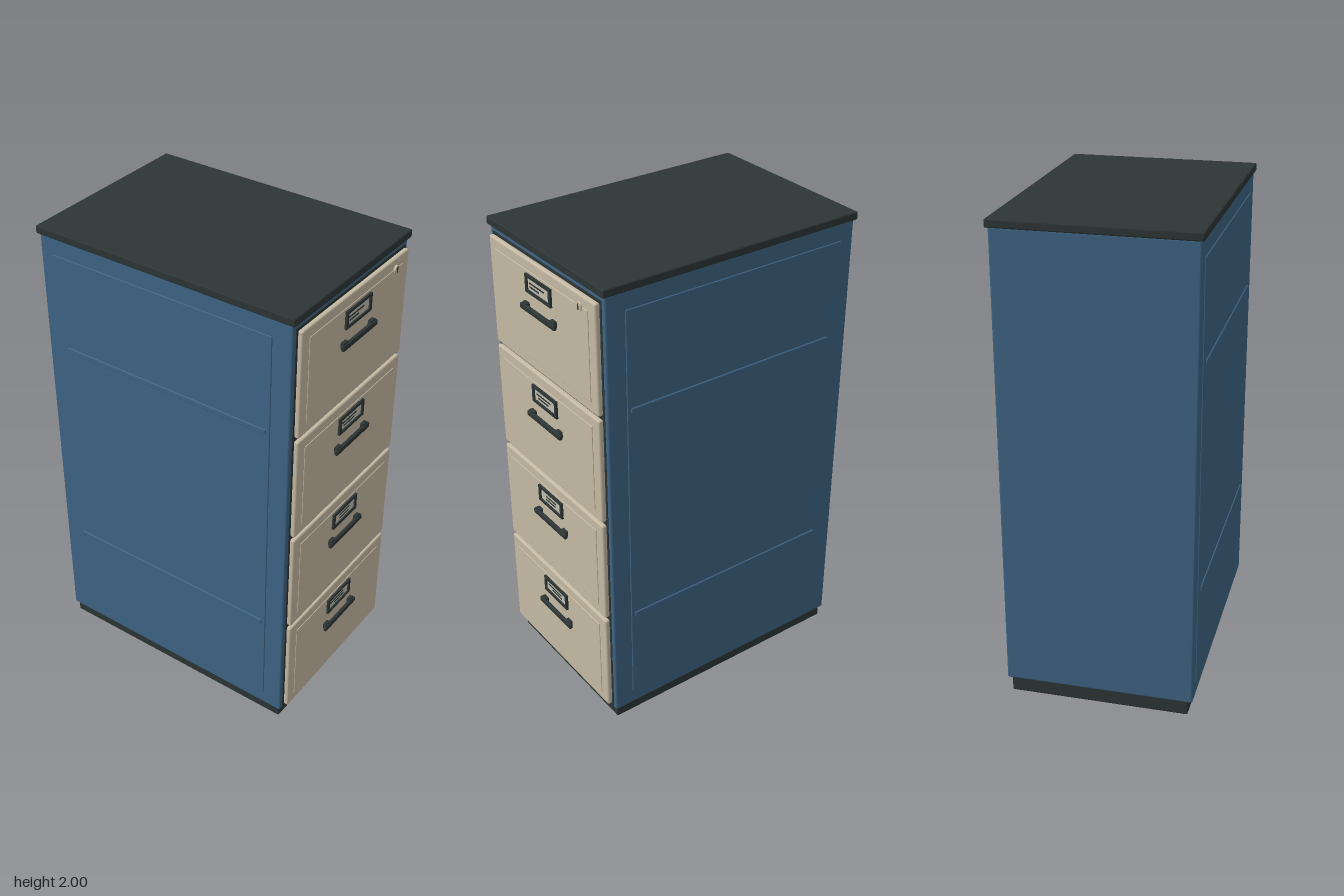
import * as THREE from 'three';
import { RoundedBoxGeometry } from 'three/addons/geometries/RoundedBoxGeometry.js';

const mat = (name, color) => {
  const m = new THREE.MeshStandardMaterial({ color });
  m.name = name;
  return m;
};

export function createModel() {
  const blue = mat('blue steel', 0x3f6585);
  const dark = mat('charcoal', 0x2d3635);
  const beige = mat('beige enamel', 0xc6baa4);
  const card = mat('label card', 0xc2bfaf);

  const cabinet = new THREE.Group();
  cabinet.name = 'filingCabinet';

  // Box given by its min and max corners, rounded when r > 0
  const box = (parent, name, m, [x0, y0, z0], [x1, y1, z1], r = 0) => {
    const s = [x1 - x0, y1 - y0, z1 - z0];
    const g = r ? new RoundedBoxGeometry(...s, 2, r) : new THREE.BoxGeometry(...s);
    const mesh = new THREE.Mesh(g, m);
    mesh.name = name;
    mesh.position.set((x0 + x1) / 2, (y0 + y1) / 2, (z0 + z1) / 2);
    parent.add(mesh);
    return mesh;
  };

  // Plinth, body and top slab
  box(cabinet, 'plinth', dark, [-0.37, 0, -0.585], [0.37, 0.065, 0.535], 0.004);
  box(cabinet, 'body', blue, [-0.39, 0.06, -0.59], [0.39, 1.97, 0.553], 0.008);
  box(cabinet, 'top', dark, [-0.4, 1.967, -0.6], [0.4, 2, 0.565], 0.006);
  box(cabinet, 'drawerRecess', dark, [-0.372, 0.07, 0.55], [0.372, 1.947, 0.555]);

  // Raised side panels with two pressed ribs each
  for (const side of [-1, 1]) {
    const span = (a, b) => [Math.min(side * a, side * b), Math.max(side * a, side * b)];
    const [p0, p1] = span(0.38, 0.3945);
    box(cabinet, 'sidePanel', blue, [p0, 0.12, -0.53], [p1, 1.895, 0.47], 0.003);
    const [r0, r1] = span(0.385, 0.4);
    for (const y of [0.535, 1.487]) {
      box(cabinet, 'sideRib', blue, [r0, y - 0.011, -0.49], [r1, y + 0.011, 0.455], 0.004);
    }
  }

  // Printed lines on each card: [left, right] of the upper and lower line
  const lines = [
    [[-0.065, 0.035], [-0.035, 0.038]],
    [[-0.04, 0.035], [-0.04, 0.03]],
    [[-0.065, 0.035], [-0.055, 0.02]],
    [[-0.065, 0.035], [-0.065, 0.0]],
  ];

  // Four drawers, from bottom to top
  for (let i = 0; i < 4; i++) {
    const drawer = new THREE.Group();
    drawer.name = 'drawer' + (i + 1);
    drawer.position.y = 0.308 + i * 0.468;
    cabinet.add(drawer);

    box(drawer, 'drawerFront', beige, [-0.365, -0.226, 0.554], [0.365, 0.226, 0.576], 0.008);
    box(drawer, 'drawerPanel', beige, [-0.32, -0.184, 0.57], [0.32, 0.184, 0.579], 0.002);

    // Label holder: frame with a window, card and printed lines
    const frame = new THREE.Shape();
    frame.moveTo(-0.0875, -0.037).lineTo(0.0875, -0.037).lineTo(0.0875, 0.037).lineTo(-0.0875, 0.037).closePath();
    const hole = new THREE.Path();
    hole.moveTo(-0.074, -0.025).lineTo(-0.074, 0.025).lineTo(0.074, 0.025).lineTo(0.074, -0.025).closePath();
    frame.holes.push(hole);
    const holder = new THREE.Mesh(
      new THREE.ExtrudeGeometry(frame, { depth: 0.01, bevelEnabled: false }), dark);
    holder.name = 'labelFrame';
    holder.position.set(-0.003, 0.137, 0.578);
    drawer.add(holder);
    box(drawer, 'labelCard', card, [-0.08, 0.109, 0.578], [0.074, 0.165, 0.582]);
    lines[i].forEach(([a, b], k) => {
      const y = 0.141 - k * 0.015;
      box(drawer, 'labelLine', dark, [a, y - 0.003, 0.581], [b, y + 0.003, 0.5835]);
    });

    // Pull handle on two mounts
    box(drawer, 'handleBar', dark, [-0.12, 0.024, 0.584], [0.12, 0.048, 0.6], 0.006);
    for (const x of [-0.095, 0.095]) {
      box(drawer, 'handleMount', dark, [x - 0.016, 0.028, 0.575], [x + 0.016, 0.055, 0.594], 0.004);
    }
  }

  // Lock on the top drawer
  const lock = new THREE.Mesh(new THREE.CylinderGeometry(0.018, 0.018, 0.01, 24), beige);
  lock.name = 'lock';
  lock.rotation.x = Math.PI / 2;
  lock.position.set(0.268, 1.893, 0.579);
  cabinet.add(lock);
  box(cabinet, 'keySlot', dark, [0.265, 1.881, 0.583], [0.271, 1.905, 0.5855]);

  return cabinet;
}
